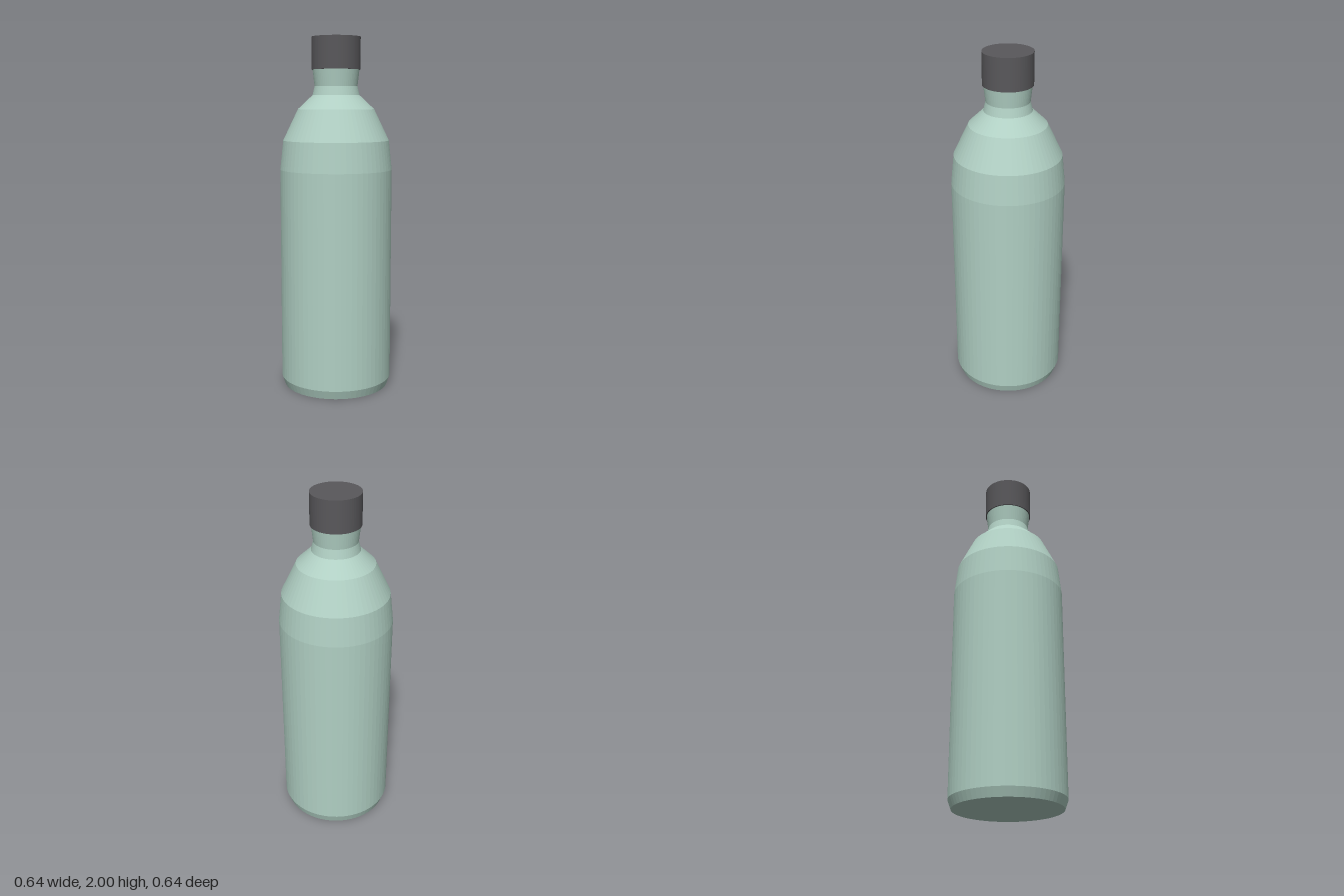
import * as THREE from 'three';

const SEGMENTS = 64;

export function createModel() {
  const group = new THREE.Group();
  group.name = 'bottle';

  const green = new THREE.MeshStandardMaterial({ color: 0xb0cfc3, flatShading: true });
  green.name = 'pale green';
  const grey = new THREE.MeshStandardMaterial({ color: 0x59585b, flatShading: true });
  grey.name = 'dark grey';

  // Body: base, chamfer, straight wall, stepped shoulder and flared neck
  const profile = [
    [0, 0], [0.3, 0], [0.318, 0.05], [0.318, 1.26], [0.3, 1.425],
    [0.216, 1.6], [0.133, 1.678], [0.121, 1.728], [0.133, 1.83],
  ].map(([r, y]) => new THREE.Vector2(r, y));
  const body = new THREE.Mesh(new THREE.LatheGeometry(profile, SEGMENTS), green);
  body.name = 'body';
  group.add(body);

  // Screw cap, slightly wider than the neck
  const cap = new THREE.Mesh(new THREE.CylinderGeometry(0.138, 0.138, 0.18, SEGMENTS), grey);
  cap.name = 'cap';
  cap.position.y = 1.91;
  group.add(cap);

  return group;
}
